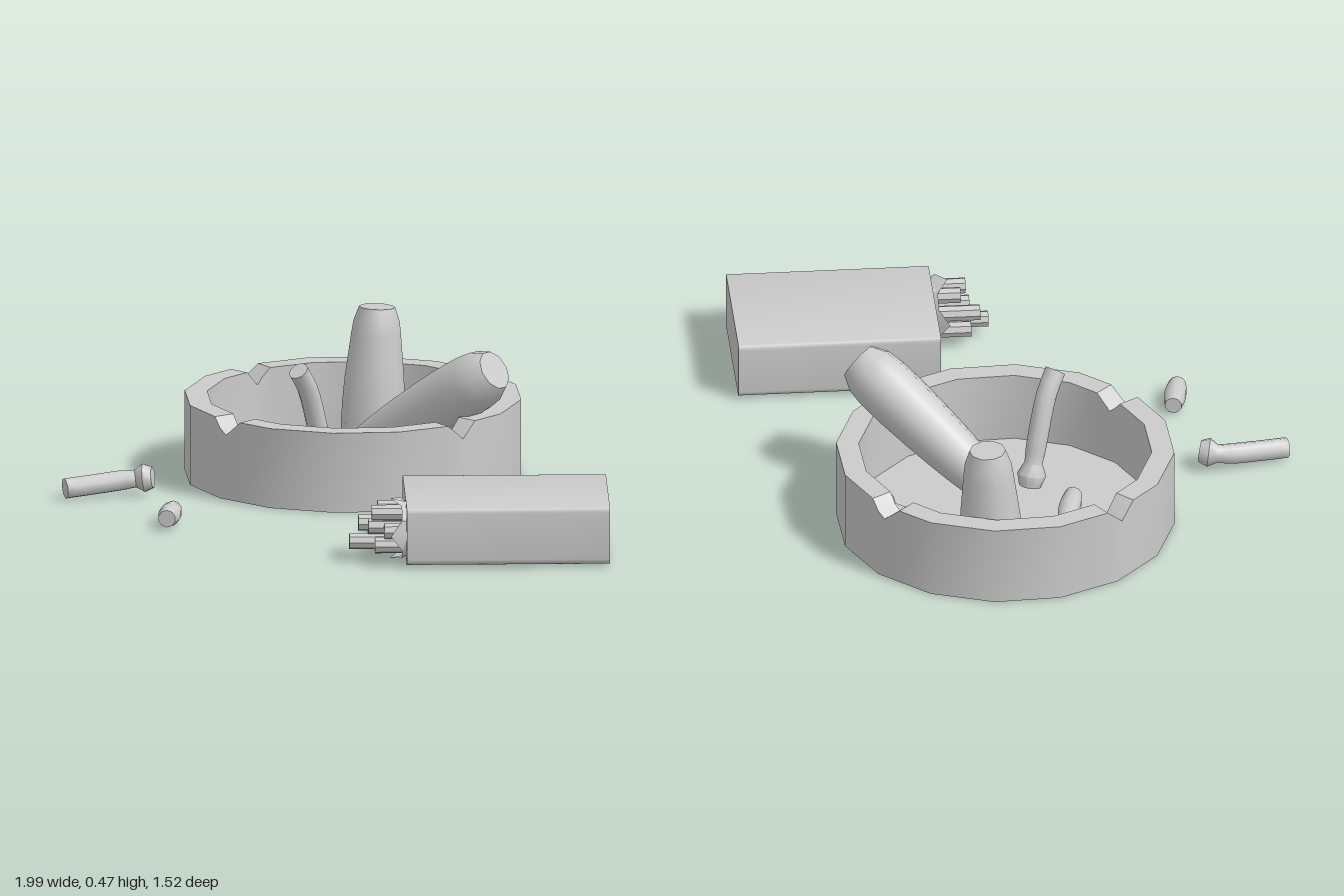
import * as THREE from 'three';
import { toCreasedNormals } from 'three/addons/utils/BufferGeometryUtils.js';

const material = new THREE.MeshStandardMaterial({ color: 0xcccccc });
const thin = new THREE.MeshStandardMaterial({ color: 0xcccccc, side: THREE.DoubleSide });

function add(parent, name, geometry, mat = material) {
  const mesh = new THREE.Mesh(geometry, mat);
  mesh.name = name;
  parent.add(mesh);
  return mesh;
}

// Capped round body along a path, its radius varying evenly from end to end
function sweep(points, radii, sides = 10) {
  const curve = new THREE.CatmullRomCurve3(points.map(p => new THREE.Vector3(...p)), false, 'centripetal');
  const n = radii.length;
  const geo = new THREE.TubeGeometry(curve, n + 1, 1, sides);
  const pos = geo.attributes.position;
  const v = new THREE.Vector3();
  for (let row = 0; row <= n + 1; row++) {
    const k = THREE.MathUtils.clamp(row - 1, 0, n - 1);
    const isCap = row === 0 || row === n + 1;
    const from = curve.getPointAt(row / (n + 1));
    const to = curve.getPointAt(k / (n - 1));
    for (let s = 0; s <= sides; s++) {
      const i = row * (sides + 1) + s;
      v.fromBufferAttribute(pos, i).sub(from).multiplyScalar(isCap ? 0 : radii[k]).add(to);
      pos.setXYZ(i, v.x, v.y, v.z);
    }
  }
  return toCreasedNormals(geo, 0.75);
}

// Surface through rows of points; each row is a closed loop
function loft(rows) {
  const n = rows[0].length;
  const index = [];
  for (let r = 0; r < rows.length - 1; r++) {
    for (let i = 0; i < n; i++) {
      const j = (i + 1) % n, a = r * n, b = a + n;
      index.push(a + i, b + i, a + j, a + j, b + i, b + j);
    }
  }
  const geo = new THREE.BufferGeometry();
  geo.setAttribute('position', new THREE.Float32BufferAttribute(rows.flat(2), 3));
  geo.setIndex(index);
  return toCreasedNormals(geo, 0.6);
}

function makeAshtray() {
  const tray = new THREE.Group();
  tray.name = 'ashtray';
  tray.position.set(-0.473, 0, -0.235);
  const deg = Math.PI / 180, notchAt = 8.6, notchHalf = 6.3;
  const floorY = 0.03, outer = 0.54, inner = 0.468;

  // Sixteen corners plus the edges and bottoms of the four notches
  const angles = [];
  for (let i = 0; i < 16; i++) angles.push(11.25 + i * 22.5);
  for (let q = 0; q < 4; q++) {
    for (const d of [-notchHalf, 0, notchHalf]) angles.push(q * 90 + notchAt + d);
  }
  angles.sort((a, b) => a - b);

  const rimY = a => {
    const d = Math.abs((a % 90) - notchAt);
    return 0.26 - 0.05 * Math.max(0, 1 - d / notchHalf);
  };
  const ring = (radius, y) => angles.map(a => {
    const off = ((a + 11.25) % 22.5) - 11.25;
    const r = radius * Math.cos(11.25 * deg) / Math.cos(off * deg);
    return [r * Math.cos(a * deg), y(a), r * Math.sin(a * deg)];
  });
  add(tray, 'wall', loft([
    ring(outer, () => 0), ring(outer, rimY), ring(inner, rimY), ring(inner, () => floorY),
  ]), thin);

  const floor = add(tray, 'floor', new THREE.CircleGeometry(inner, 16, 11.25 * deg), thin);
  floor.rotation.x = -Math.PI / 2;
  floor.position.y = floorY;
  return tray;
}

function makePack() {
  const pack = new THREE.Group();
  pack.name = 'cigarettePack';
  pack.position.set(0.59, 0, 0.257);
  pack.rotation.y = -0.835;
  const w = 0.239, y0 = 0.008, y1 = 0.195, r = 0.018, length = 0.648;

  // Box with rounded long edges
  const s = new THREE.Shape();
  s.moveTo(-w + r, y0);
  s.lineTo(w - r, y0).quadraticCurveTo(w, y0, w, y0 + r);
  s.lineTo(w, y1 - r).quadraticCurveTo(w, y1, w - r, y1);
  s.lineTo(-w + r, y1).quadraticCurveTo(-w, y1, -w, y1 - r);
  s.lineTo(-w, y0 + r).quadraticCurveTo(-w, y0, -w + r, y0);
  const box = new THREE.ExtrudeGeometry(s, { depth: length, bevelEnabled: false, curveSegments: 4 });
  add(pack, 'box', toCreasedNormals(box.translate(0, 0, -length / 2), 0.6));

  // Torn wrapper standing out around the opening
  const rim = (grow, out) => Array.from({ length: 12 }, (_, i) => {
    const a = i * Math.PI / 6;
    return [0.12 + 0.11 * grow * Math.cos(a), 0.105 + 0.085 * grow * Math.sin(a), length / 2 + out(i)];
  });
  add(pack, 'tornWrapper', loft([rim(1, () => -0.005), rim(1.15, i => (i % 3 === 0 ? 0.05 : 0.015))]), thin);

  // Cigarettes sticking out: across, height, reach
  const sticks = [
    [0.11, 0.06, 0.18], [0.05, 0.06, 0.12], [0.17, 0.06, 0.1],
    [0.065, 0.11, 0.15], [0.125, 0.113, 0.12], [0.185, 0.11, 0.07],
    [0.09, 0.162, 0.09], [0.15, 0.162, 0.11],
  ];
  for (const [x, y, reach] of sticks) {
    const z = length / 2;
    add(pack, 'cigarette', sweep([[x, y, z - 0.05], [x, y, z + reach]], [0.026, 0.026], 8));
  }
  return pack;
}

export function createModel() {
  const model = new THREE.Group();
  model.name = 'ashtrayScene';
  model.add(makeAshtray(), makePack());

  // Cigars: one stubbed upright, one leaning over the rim
  add(model, 'uprightCigar', sweep(
    [[-0.655, 0.005, -0.54], [-0.655, 0.462, -0.567]],
    [0.1, 0.101, 0.101, 0.1, 0.098, 0.095, 0.09, 0.085, 0.08, 0.074, 0.058]));
  add(model, 'leaningCigar', sweep(
    [[-0.42, 0.1, -0.24], [0.075, 0.415, -0.288]],
    [0.065, 0.072, 0.078, 0.083, 0.087, 0.09, 0.093, 0.095, 0.097, 0.097, 0.096, 0.09, 0.065]));

  // Bent butts with a crushed, flared end
  const bent = [0.033, 0.033, 0.033, 0.033, 0.033, 0.033, 0.033, 0.032, 0.029, 0.047, 0.035];
  const bentPaths = {
    lyingButt: [[-0.55, 0.07, -0.43], [-0.44, 0.07, -0.485], [-0.25, 0.075, -0.525], [-0.155, 0.085, -0.5]],
    standingButt: [[-0.443, 0.397, 0.068], [-0.443, 0.33, 0.022], [-0.446, 0.19, -0.03], [-0.45, 0.04, -0.075]],
    looseButt: [[-0.945, 0.035, 0.625], [-0.885, 0.043, 0.53], [-0.825, 0.052, 0.445], [-0.765, 0.06, 0.405]],
  };
  for (const [name, path] of Object.entries(bentPaths)) add(model, name, sweep(path, bent));

  // Short straight stubs, slightly fuller in the middle
  const stub = [0.027, 0.033, 0.036, 0.034, 0.028];
  add(model, 'stubInTray', sweep([[-0.715, 0.065, -0.235], [-0.62, 0.065, -0.07]], stub));
  add(model, 'looseStub', sweep([[-0.495, 0.036, 0.62], [-0.42, 0.036, 0.74]], stub));
  return model;
}
